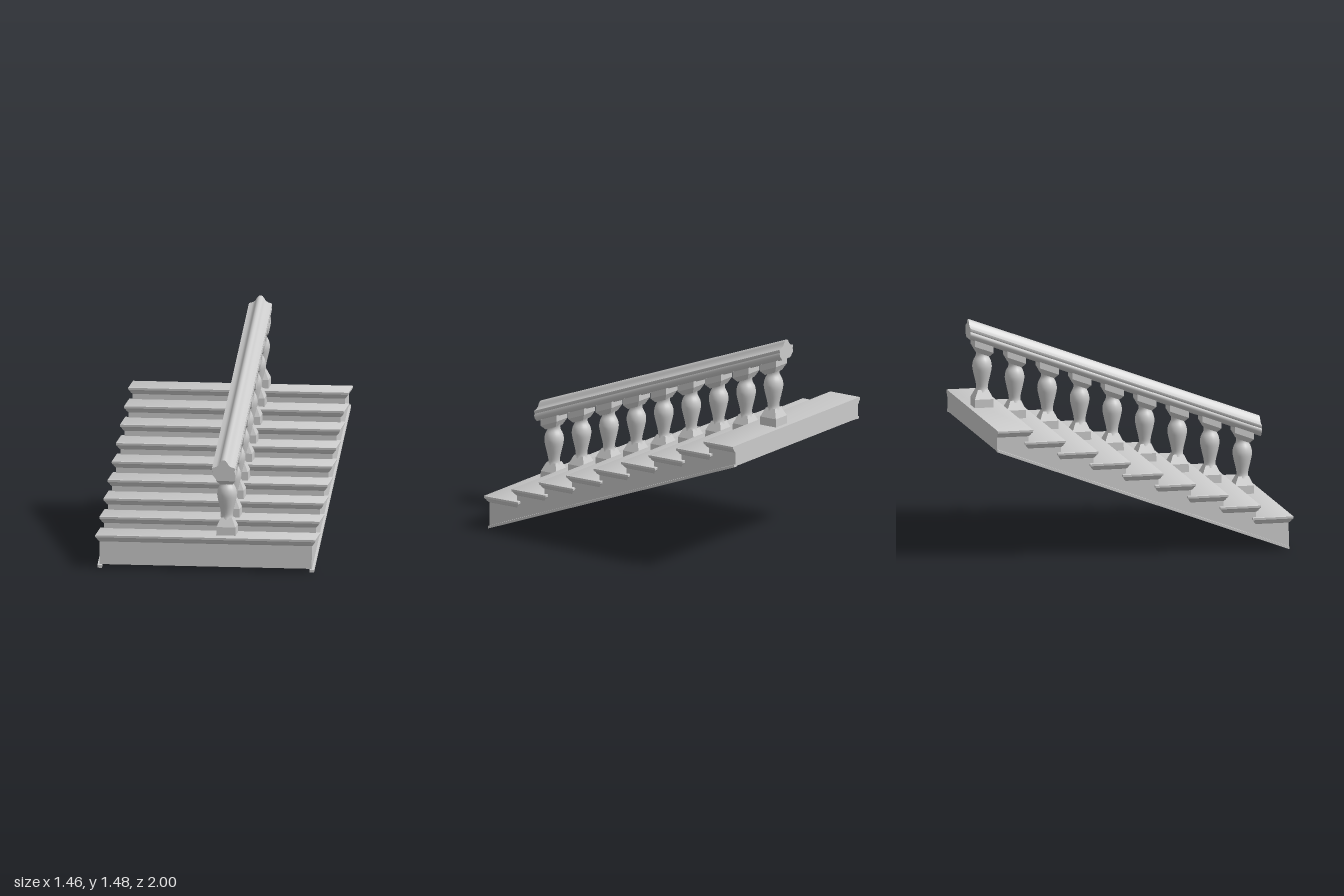
import * as THREE from 'three';
import { toCreasedNormals } from 'three/addons/utils/BufferGeometryUtils.js';

const STEPS = 9, RUN = 0.22, RISE = 0.0825, SLOPE = RISE / RUN;
const HALF = 0.73, RAIL_X = 0.118;
const frontZ = i => 1 - RUN * i;
const topY = i => 0.225 + RISE * i;

const material = new THREE.MeshStandardMaterial({ color: 0xcccccc, side: THREE.DoubleSide });

function add(parent, name, geometry, x = 0, y = 0, z = 0) {
  const mesh = new THREE.Mesh(geometry, material);
  mesh.name = name;
  mesh.position.set(x, y, z);
  parent.add(mesh);
  return mesh;
}

// Slide points vertically so the part follows the pitch of the stair
function shear(geometry) {
  const p = geometry.attributes.position;
  for (let i = 0; i < p.count; i++) p.setY(i, p.getY(i) - SLOPE * p.getZ(i));
  geometry.computeVertexNormals();
  return geometry;
}

// Tread shell, open below: rectangles stacked up to form a moulded lip, closed by the top
function treadGeometry(back, flushBack) {
  const profile = [[0.027, -0.048], [0.016, -0.038], [0.01, -0.026], [0.001, -0.017], [0, -0.003], [0.004, 0]];
  const verts = [], index = [];
  for (const [inset, y] of profile) {
    const x = HALF - inset, zf = -inset, zb = back + (flushBack ? 0 : inset);
    verts.push(-x, y, zf, x, y, zf, x, y, zb, -x, y, zb);
  }
  for (let r = 0; r < profile.length - 1; r++) {
    for (let k = 0; k < 4; k++) {
      const a = r * 4 + k, b = r * 4 + (k + 1) % 4;
      index.push(a, b, b + 4, a, b + 4, a + 4);
    }
  }
  const t = (profile.length - 1) * 4;
  index.push(t, t + 1, t + 2, t, t + 2, t + 3);
  const g = new THREE.BufferGeometry();
  g.setAttribute('position', new THREE.Float32BufferAttribute(verts, 3));
  g.setIndex(index);
  return toCreasedNormals(g, 0.7);
}

// Stepped side panel with a sloping lower edge
function stringerGeometry() {
  const shape = new THREE.Shape();
  shape.moveTo(0.975, 0.005);
  for (let i = 0; i < STEPS; i++) {
    const z = frontZ(i) - 0.027;
    shape.lineTo(z, topY(i) - 0.04);
    shape.lineTo(i === STEPS - 1 ? -1 : frontZ(i + 1) - 0.027, topY(i) - 0.04);
  }
  shape.lineTo(-1, 0.745);
  return new THREE.ShapeGeometry(shape).rotateY(-Math.PI / 2);
}

// Four-sided tapered sleeve given by half widths
function block(top, bottom, y0, y1) {
  const g = new THREE.CylinderGeometry(top * Math.SQRT2, bottom * Math.SQRT2, y1 - y0, 4, 1, true);
  g.rotateY(Math.PI / 4).translate(0, (y0 + y1) / 2, 0);
  return toCreasedNormals(g, 0.5);
}

function makeBaluster() {
  const baluster = new THREE.Group();
  add(baluster, 'balusterBase', block(0.063, 0.064, -0.012, 0.055));
  add(baluster, 'balusterBaseTaper', block(0.036, 0.063, 0.055, 0.115));
  // Turned vase-shaped body
  const curve = new THREE.SplineCurve([
    [0.044, 0.1], [0.038, 0.125], [0.044, 0.165], [0.056, 0.215], [0.065, 0.265],
    [0.059, 0.305], [0.043, 0.338], [0.041, 0.36], [0.05, 0.39]
  ].map(([r, y]) => new THREE.Vector2(r, y)));
  add(baluster, 'balusterBody', new THREE.LatheGeometry(curve.getPoints(24), 18));
  // Capital cut parallel to the handrail
  add(baluster, 'balusterCapitalTaper', shear(block(0.064, 0.04, 0.352, 0.388)));
  add(baluster, 'balusterCapital', shear(block(0.064, 0.064, 0.388, 0.43)));
  return baluster;
}

// Moulded handrail section swept along the pitch
function handrailGeometry() {
  const side = [[0.045, 0], [0.056, 0.01], [0.074, 0.03], [0.077, 0.045], [0.071, 0.056],
    [0.077, 0.068], [0.077, 0.078], [0.05, 0.085], [0.033, 0.097], [0.024, 0.115], [0.013, 0.127]];
  const points = [...side, [0, 0.131], ...side.map(([x, y]) => [-x, y]).reverse()];
  const shape = new THREE.Shape(points.map(([x, y]) => new THREE.Vector2(x, y)));
  const g = new THREE.ExtrudeGeometry(shape, { depth: 1.97, bevelEnabled: false });
  g.translate(0, 0, -1);
  return toCreasedNormals(shear(g), 0.75);
}

export function createModel() {
  const model = new THREE.Group();
  model.name = 'staircase';

  const steps = new THREE.Group();
  steps.name = 'steps';
  model.add(steps);
  const balusters = new THREE.Group();
  balusters.name = 'balusters';
  model.add(balusters);

  for (let i = 0; i < STEPS; i++) {
    const last = i === STEPS - 1;
    add(steps, 'tread', treadGeometry(last ? -0.24 : -0.275, last), 0, topY(i), frontZ(i));

    // Thin riser from the tread below up to the lip of this one
    const low = i === 0 ? 0.025 : topY(i - 1), high = topY(i) - 0.046;
    add(steps, 'riser', new THREE.PlaneGeometry(1.406, high - low),
      0, (low + high) / 2, frontZ(i) - 0.027);

    const baluster = makeBaluster();
    baluster.name = 'baluster';
    baluster.position.set(RAIL_X + 0.009, topY(i), 0.857 - RUN * i);
    balusters.add(baluster);
  }

  // Back panel under the top tread
  add(model, 'backPanel', new THREE.PlaneGeometry(1.406, 0.1).rotateY(Math.PI), 0, 0.795, -1);

  // Side panels with a bead along the lower edge
  for (const s of [-1, 1]) {
    add(model, 'stringer', stringerGeometry(), s * 0.703);
    const bead = new THREE.BoxGeometry(0.03, 0.018, 1.975).translate(0, 0, -0.0125);
    add(model, 'stringerBead', shear(bead), s * 0.703, 0.375);
  }

  add(model, 'handrail', handrailGeometry(), RAIL_X, 0.97, 0);
  return model;
}
